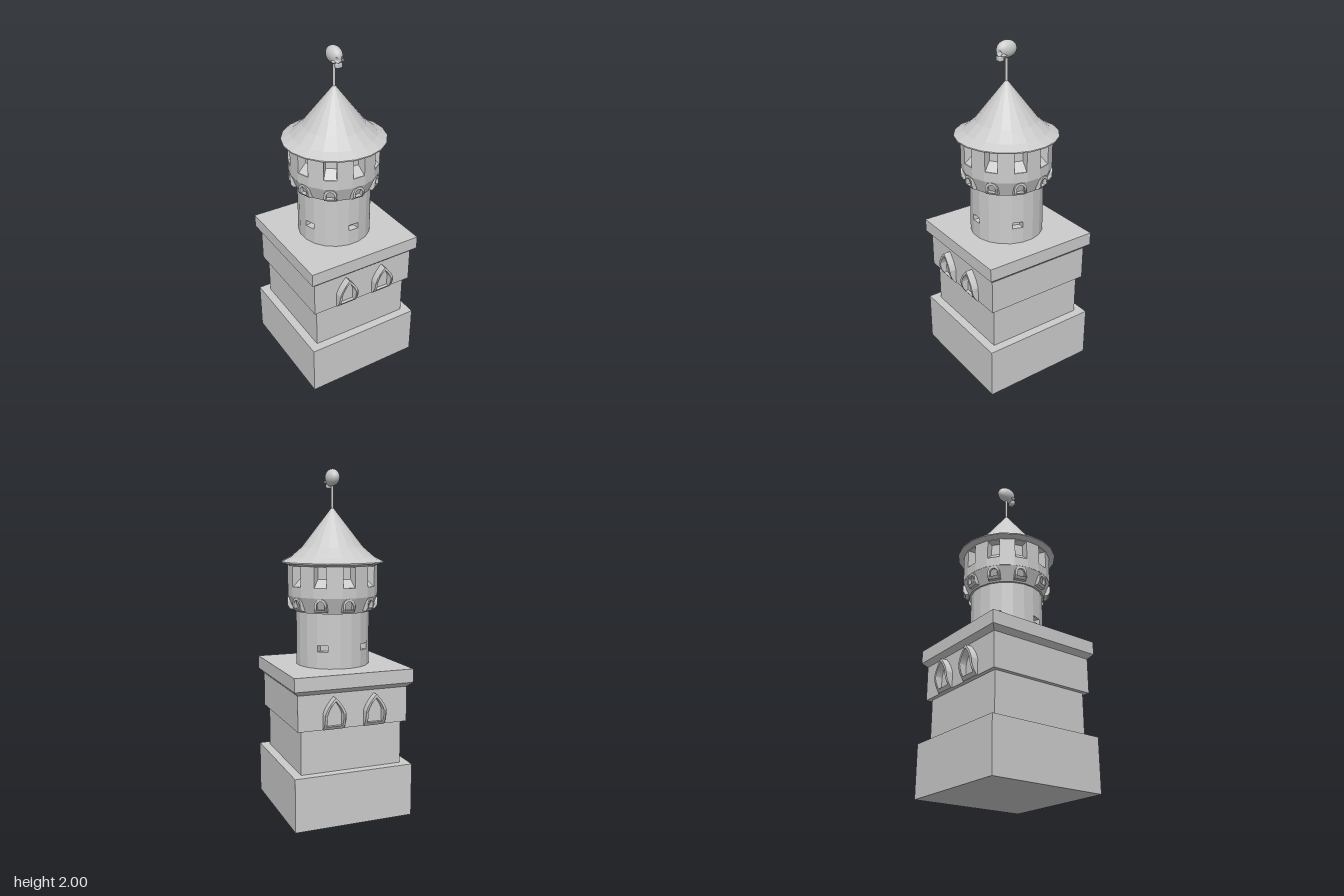
import * as THREE from 'three';
import { mergeGeometries } from 'three/addons/utils/BufferGeometryUtils.js';
import { RoundedBoxGeometry } from 'three/addons/geometries/RoundedBoxGeometry.js';

const SIDES = 20, STEP = Math.PI * 2 / SIDES;
const flat = new THREE.MeshStandardMaterial({ color: 0xcccccc, flatShading: true });
const smooth = new THREE.MeshStandardMaterial({ color: 0xcccccc });
const V2 = (x, y) => new THREE.Vector2(x, y);

function add(parent, name, geometry, material = flat) {
  const mesh = new THREE.Mesh(geometry, material);
  mesh.name = name;
  parent.add(mesh);
  return mesh;
}

// Apply a rule to every vertex
function warp(geometry, rule) {
  const p = geometry.attributes.position, v = new THREE.Vector3();
  for (let i = 0; i < p.count; i++) {
    v.fromBufferAttribute(p, i);
    rule(v);
    p.setXYZ(i, v.x, v.y, v.z);
  }
  geometry.computeVertexNormals();
  return geometry;
}

// Turned profile with flats facing the axes
const turned = (profile, sides = SIDES) =>
  new THREE.LatheGeometry(profile.map(([r, y]) => V2(r, y)), sides, Math.PI / sides);

const rect = (w, y0, y1) => [V2(-w / 2, y0), V2(w / 2, y0), V2(w / 2, y1), V2(-w / 2, y1)];

// Faceted wall with a rectangular opening in every nth facet
function facetWall(radius, y0, y1, depth, every, hole) {
  const apothem = radius * Math.cos(STEP / 2), width = 2 * radius * Math.sin(STEP / 2);
  const parts = [];
  for (let i = 0; i < SIDES; i++) {
    const shape = new THREE.Shape(rect(width, y0, y1));
    if (i % every === 0) shape.holes.push(new THREE.Path(rect(...hole)));
    const g = new THREE.ExtrudeGeometry(shape, { depth, bevelEnabled: false });
    g.translate(0, 0, apothem - depth);
    warp(g, v => { v.x *= v.z / apothem; }); // mitred joints
    parts.push(g.rotateY(i * STEP));
  }
  return mergeGeometries(parts);
}

// Pointed or round arch outline standing on y0
function archPoints(w, y0, spring, top, pointed) {
  const half = [];
  for (let i = 0; i < 4; i++) half.push([w, y0 + (spring - y0) * i / 4]);
  for (let i = 0; i <= 8; i++) {
    const t = i / 8, a = t * Math.PI / 2;
    const x = pointed ? w * (1 - 0.45 * t - 0.55 * t * t) : w * Math.cos(a);
    half.push([x, spring + (top - spring) * (pointed ? t : Math.sin(a))]);
  }
  const left = half.slice(0, -1).reverse().map(([x, y]) => [-x, y]);
  return [...half, ...left].map(([x, y]) => V2(x, y));
}

function archFrame(outer, inner, depth) {
  const shape = new THREE.Shape(outer);
  shape.holes.push(new THREE.Path(inner));
  return new THREE.ExtrudeGeometry(shape, { depth, bevelEnabled: false });
}

function createModel() {
  const model = new THREE.Group();
  model.name = 'watchtower';

  // Square stepped base with flared cornice
  const steps = [[0, 0], [0.357, 0], [0.357, 0.31], [0.305, 0.31], [0.305, 0.565], [0.33, 0.565],
    [0.33, 0.77], [0.357, 0.797], [0.357, 0.875], [0, 0.875]];
  add(model, 'steppedBase', turned(steps.map(([r, y]) => [r * Math.SQRT2, y]), 4));

  // Pointed window hoods, tapering into the wall at the bottom
  for (const side of [0, Math.PI]) {
    for (const x of [-0.122, 0.122]) {
      const g = archFrame(archPoints(0.0625, 0, 0.09, 0.186, true),
        archPoints(0.047, 0.02, 0.09, 0.166, true), 0.052);
      warp(g, v => {
        const t = Math.max(0, 1 - v.y / 0.09);
        if (v.z > 0.01) v.z -= 0.036 * t * t;
      });
      g.translate(x, 0.565, 0.32);
      add(model, 'archedWindowFrame', g.rotateY(side));
    }
  }

  // Round tower with five slits
  add(model, 'towerWall', facetWall(0.216, 0.875, 1.2, 0.045, 4, [0.062, 0.972, 1.008]));
  add(model, 'towerCore', turned([[0.174, 0.875], [0.174, 1.2]]));

  // Corbel ring under the gallery, with little arches
  add(model, 'corbelRing', turned([[0.19, 1.19], [0.226, 1.19], [0.232, 1.205], [0.264, 1.283], [0.2, 1.283]]));
  for (let i = 0; i < SIDES; i += 2) {
    const g = archFrame(archPoints(0.036, 1.2, 1.24, 1.277, false),
      archPoints(0.023, 1.215, 1.24, 1.263, false), 0.045);
    warp(g, v => { if (v.z > 0.02) v.z -= Math.max(0, 1.222 - v.y) * 0.7; });
    g.translate(0, 0, 0.218);
    add(model, 'corbelArch', g.rotateY(i * STEP));
  }

  // Gallery with ten windows and sloping sills
  add(model, 'galleryWall', facetWall(0.264, 1.28, 1.462, 0.055, 2, [0.072, 1.337, 1.452]));
  add(model, 'galleryCore', turned([[0.21, 1.28], [0.21, 1.462]]));
  const sillShape = new THREE.Shape([V2(0.2, 1.33), V2(0.258, 1.338), V2(0.2, 1.39)]);
  for (let i = 0; i < SIDES; i += 2) {
    const sill = new THREE.ExtrudeGeometry(sillShape, { depth: 0.07, bevelEnabled: false });
    sill.translate(0, 0, -0.035).rotateY(-Math.PI / 2 + i * STEP);
    add(model, 'windowSill', sill);
  }

  // Bell-cast roof
  add(model, 'roof', turned([[0, 1.455], [0.262, 1.455], [0.3, 1.468], [0.3, 1.475], [0.245, 1.502],
    [0.18, 1.558], [0, 1.788]]));
  const pole = add(model, 'finialPole', new THREE.CylinderGeometry(0.008, 0.008, 0.15, 10), smooth);
  pole.position.y = 1.84;

  // Skull finial: cranium with eye and nose hollows, plus upper jaw
  const skull = new THREE.Group();
  skull.name = 'skullFinial';
  skull.position.y = 1.952;
  model.add(skull);
  const hollows = [[0.42, -0.22, 0.88, 0.24], [-0.42, -0.22, 0.88, 0.24], [0, -0.55, 0.83, 0.13]]
    .map(([x, y, z, r]) => ({ c: new THREE.Vector3(x, y, z).normalize(), r }));
  add(skull, 'cranium', warp(new THREE.SphereGeometry(1, 48, 32), v => {
    let k = 1;
    for (const { c, r } of hollows) k -= 0.22 * Math.max(0, 1 - (v.distanceTo(c) / r) ** 4);
    const face = Math.max(0, v.z) * Math.max(0, -v.y);
    v.set(v.x * 0.039 * (1 - 0.35 * face), v.y * 0.048 - face * 0.014, v.z * 0.062 + face * 0.02).multiplyScalar(k);
  }), smooth);
  const jaw = add(skull, 'upperJaw', new RoundedBoxGeometry(0.042, 0.034, 0.034, 3, 0.011), smooth);
  jaw.position.set(0, -0.045, 0.043);
  for (const s of [-1, 1]) {
    const cheek = add(skull, 'cheekbone', new THREE.SphereGeometry(0.012, 12, 8), smooth);
    cheek.scale.set(0.7, 0.7, 1.5);
    cheek.position.set(s * 0.027, -0.026, 0.035);
  }
  return model;
}

export { createModel };
